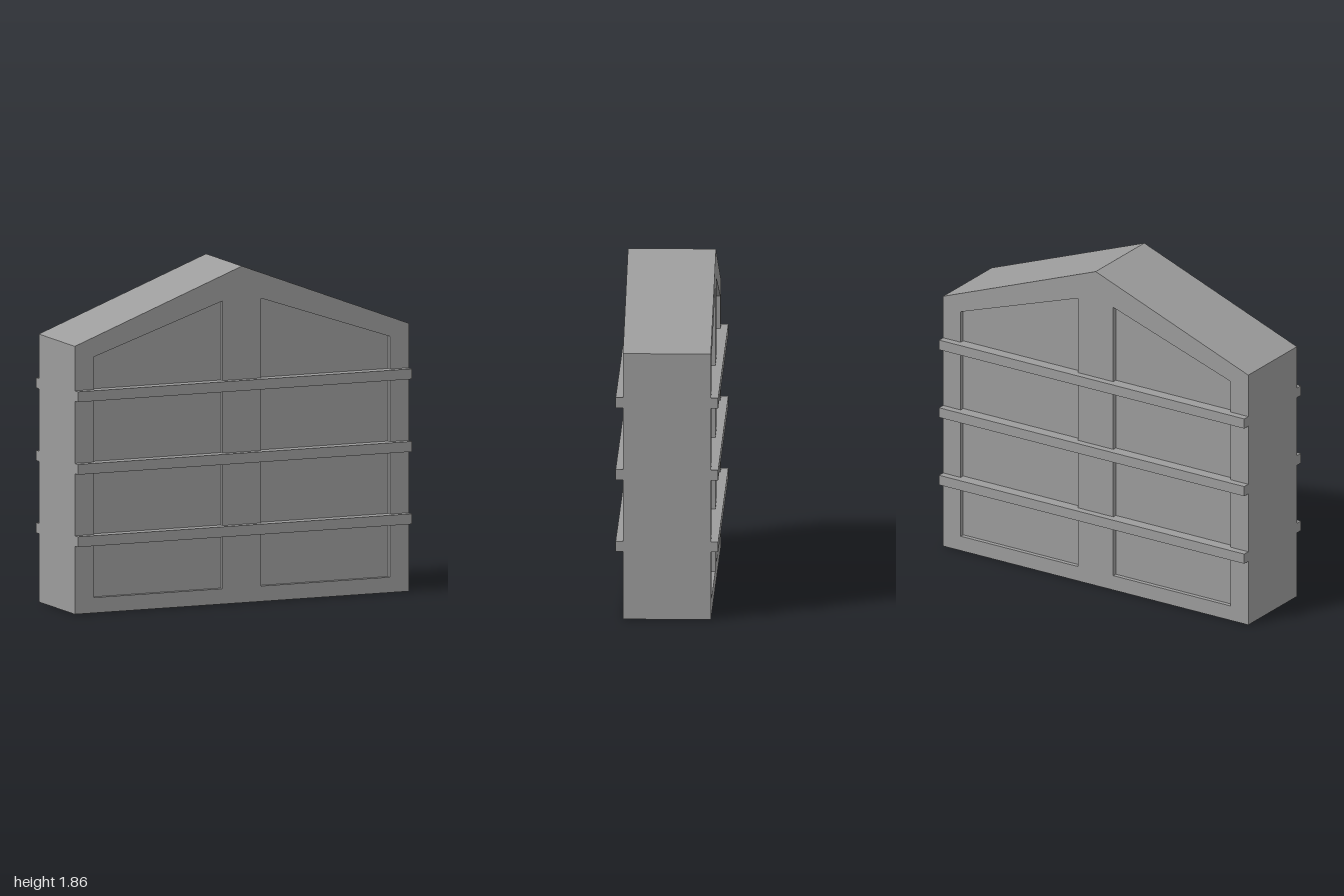
import * as THREE from 'three';

const HALF_DEPTH = 0.24;
const RECESS = 0.025;
const BAR_REACH = 0.28;

const material = new THREE.MeshStandardMaterial({ color: 0x9c9c9c, flatShading: true });

const points = (list) => list.map(([x, y]) => new THREE.Vector2(x, y));

// Extrudes a shape symmetrically about z = 0
function slab(name, shape, halfDepth) {
  const geometry = new THREE.ExtrudeGeometry(shape, { depth: 2 * halfDepth, bevelEnabled: false });
  geometry.translate(0, 0, -halfDepth);
  const mesh = new THREE.Mesh(geometry, material);
  mesh.name = name;
  return mesh;
}

// Outline of one slope-topped panel, mirrored by side
const panelOutline = (side) => points([
  [0.115 * side, 0.085], [0.885 * side, 0.085],
  [0.885 * side, 1.415], [0.115 * side, 1.675],
]);

export function createModel() {
  const model = new THREE.Group();
  model.name = 'gabledWall';

  // Gabled frame with two openings
  const gable = new THREE.Shape(points([[-1, 0], [1, 0], [1, 1.48], [0, 1.86], [-1, 1.48]]));
  for (const side of [-1, 1]) gable.holes.push(new THREE.Path(panelOutline(side)));
  model.add(slab('gabledFrame', gable, HALF_DEPTH));

  // Panels set back from both faces of the frame
  for (const side of [-1, 1]) {
    const name = side > 0 ? 'leftPanel' : 'rightPanel';
    model.add(slab(name, new THREE.Shape(panelOutline(side)), HALF_DEPTH - RECESS));
  }

  // Horizontal rails across front and back, reaching in to the panels
  const inner = HALF_DEPTH - RECESS;
  const railGeometry = new THREE.BoxGeometry(2, 0.057, BAR_REACH - inner);
  for (const face of [1, -1]) {
    for (const y of [0.405, 0.805, 1.206]) {
      const rail = new THREE.Mesh(railGeometry, material);
      rail.name = face > 0 ? 'frontRail' : 'backRail';
      rail.position.set(0, y, face * (BAR_REACH + inner) / 2);
      model.add(rail);
    }
  }

  return model;
}
